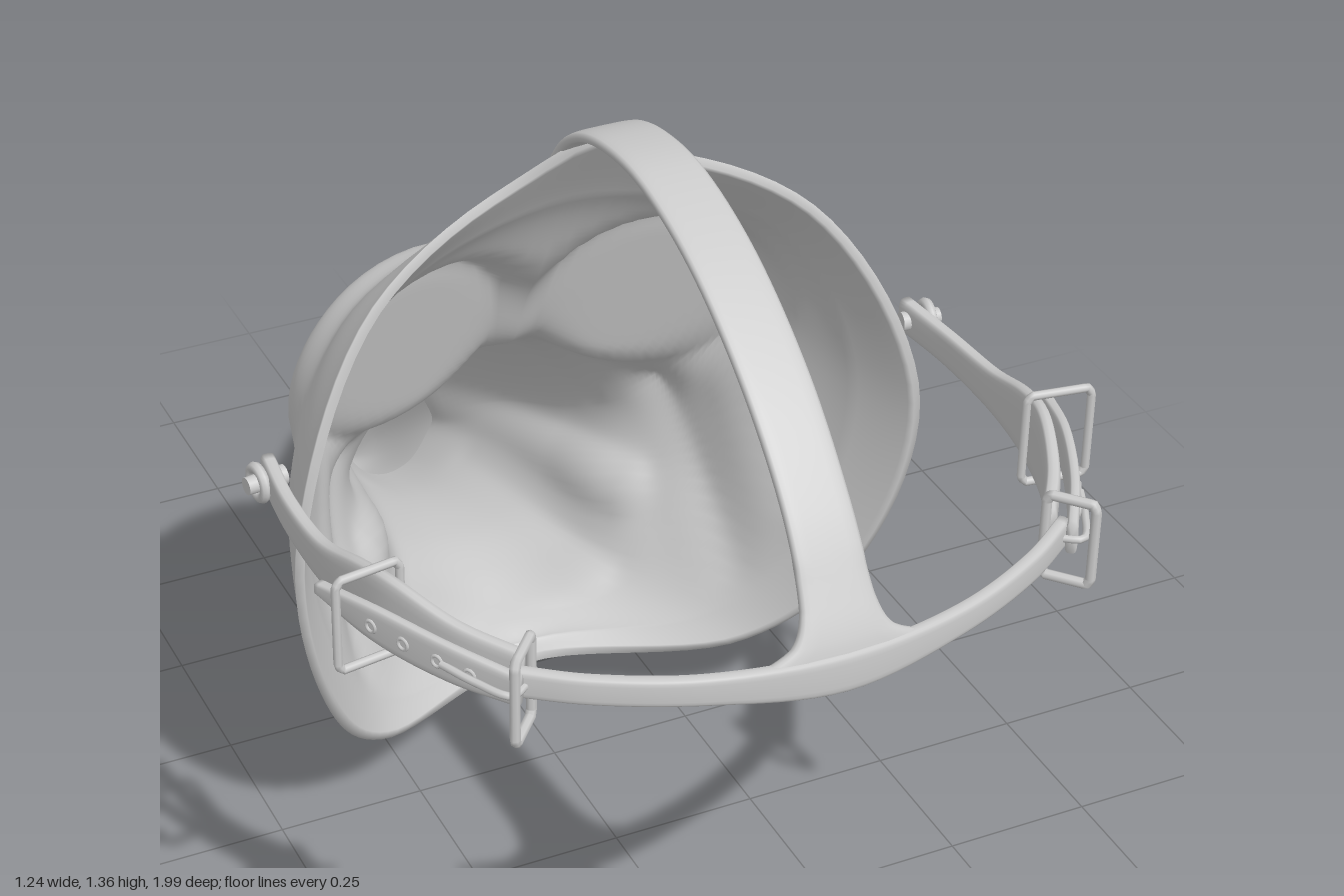
import * as THREE from 'three';

const V = (x, y, z) => new THREE.Vector3(x, y, z);
const grey = new THREE.MeshStandardMaterial({ color: 0xcccccc, side: THREE.DoubleSide });

function add(parent, name, geometry) {
  const mesh = new THREE.Mesh(geometry, grey);
  mesh.name = name;
  parent.add(mesh);
  return mesh;
}

// Skin a list of closed rings with equal point counts
function loft(rings) {
  const n = rings[0].length, pos = [], idx = [];
  rings.forEach(r => r.forEach(p => pos.push(p.x, p.y, p.z)));
  for (let j = 0; j < rings.length - 1; j++) {
    for (let i = 0; i < n; i++) {
      const a = j * n + i, b = j * n + (i + 1) % n;
      idx.push(a, b, a + n, b, b + n, a + n);
    }
  }
  const g = new THREE.BufferGeometry();
  g.setAttribute('position', new THREE.Float32BufferAttribute(pos, 3));
  g.setIndex(idx);
  g.computeVertexNormals();
  return g;
}

// Flat leather strap along a path; widths are half widths at each path point
function strap(points, widths, thick, across, steps = 48) {
  const path = new THREE.CatmullRomCurve3(points);
  const width = new THREE.CatmullRomCurve3(widths.map((w, i) => V(w, i, 0)));
  const rings = [];
  for (let j = 0; j <= steps; j++) {
    const t = j / steps, c = path.getPoint(t), w = width.getPoint(t).x;
    const normal = path.getTangent(t).cross(across).normalize();
    const ring = [];
    for (let i = 0; i < 20; i++) {
      const a = i / 20 * Math.PI * 2, co = Math.cos(a), si = Math.sin(a);
      ring.push(c.clone()
        .addScaledVector(across, w * Math.sign(co) * Math.abs(co) ** 0.5)
        .addScaledVector(normal, thick / 2 * Math.sign(si) * Math.abs(si) ** 0.5));
    }
    if (j === 0) rings.push(ring.map(() => c.clone()));
    rings.push(ring);
    if (j === steps) rings.push(ring.map(() => c.clone()));
  }
  return loft(rings);
}

// Half sections from rim to beak: top y,z | brow | side | cheek | jaw (x,y,z each) | bottom y,z
const SECTIONS = [
  [1.225, 0.10, 0.36, 1.095, 0.16, 0.536, 0.75, 0.24, 0.48, 0.39, 0.18, 0.33, 0.175, 0.05, 0.115, -0.12],
  [1.10, 0.00, 0.345, 1.01, 0.03, 0.48, 0.76, 0.07, 0.44, 0.41, 0.04, 0.28, 0.18, -0.06, 0.115, -0.16],
  [0.93, -0.09, 0.27, 0.95, -0.07, 0.41, 0.78, -0.05, 0.38, 0.43, -0.09, 0.22, 0.19, -0.15, 0.125, -0.20],
  [0.77, -0.18, 0.20, 0.74, -0.16, 0.335, 0.59, -0.19, 0.31, 0.39, -0.21, 0.18, 0.20, -0.20, 0.135, -0.24],
  [0.70, -0.30, 0.14, 0.66, -0.30, 0.27, 0.49, -0.31, 0.25, 0.35, -0.30, 0.15, 0.20, -0.29, 0.155, -0.32],
  [0.655, -0.42, 0.11, 0.60, -0.42, 0.235, 0.42, -0.42, 0.21, 0.30, -0.42, 0.11, 0.195, -0.42, 0.165, -0.42],
  [0.56, -0.60, 0.08, 0.50, -0.60, 0.182, 0.34, -0.60, 0.165, 0.25, -0.60, 0.085, 0.17, -0.59, 0.145, -0.58],
  [0.39, -0.80, 0.045, 0.33, -0.80, 0.106, 0.22, -0.78, 0.098, 0.16, -0.78, 0.055, 0.10, -0.77, 0.08, -0.77],
  [0.16, -0.945, 0.024, 0.13, -0.94, 0.05, 0.085, -0.925, 0.046, 0.05, -0.92, 0.026, 0.025, -0.92, 0.014, -0.92],
];
// Folds as soft ridges and grooves along segments: start, end, radius, height
const FOLDS = [
  [V(0.25, 0.34, -0.24), V(0.12, 0.27, -0.72), 0.045, -0.03],
  [V(0.20, 0.23, -0.18), V(0.12, 0.19, -0.60), 0.04, 0.012],
  [V(0.29, 0.56, -0.22), V(0.37, 0.28, -0.03), 0.045, 0.028],
  [V(0.36, 0.60, -0.10), V(0.42, 0.40, 0.00), 0.04, -0.018],
  [V(0, 0.73, -0.26), V(0.26, 0.55, -0.24), 0.03, 0.016],
  [V(0, 0.675, -0.39), V(0.22, 0.47, -0.35), 0.025, 0.013],
  [V(0, 0.70, -0.33), V(0.24, 0.50, -0.31), 0.022, -0.01],
  [V(0, 0.12, -0.15), V(0.05, 0.12, -0.15), 0.03, 0.008],
];
const EYE = V(0.225, 0.83, -0.135);
const EYE_DIR = V(0.22, 0.28, -1).normalize();

function maskShell() {
  const N = 96, M = 130;
  const loops = SECTIONS.map(s => {
    const half = [0, 1, 2, 3].map(k => V(s[2 + 3 * k], s[3 + 3 * k], s[4 + 3 * k]));
    const mirrored = half.map(p => V(-p.x, p.y, p.z)).reverse();
    return new THREE.CatmullRomCurve3([V(0, s[0], s[1]), ...half, V(0, s[14], s[15]), ...mirrored], true);
  });
  const lines = Array.from({ length: N }, (_, i) => new THREE.CatmullRomCurve3(
    [...loops.map(c => c.getPoint(i / N)), V(0, 0.002, -0.998)]));
  const rings = Array.from({ length: M + 1 }, (_, j) => lines.map(l => l.getPoint(j / M)));
  const normals = loft(rings).attributes.normal;
  const segment = new THREE.Line3(), near = V();
  rings.forEach((ring, j) => ring.forEach((p, i) => {
    const q = V(Math.abs(p.x), p.y, p.z), n = V().fromBufferAttribute(normals, j * N + i);
    let lift = 0;
    for (const [a, b, r, h] of FOLDS) {
      const u = segment.set(a, b).closestPointToPointParameter(q, true);
      segment.at(u, near);
      lift += h * (1 - 0.7 * u) * Math.exp(-((near.distanceTo(q) / r) ** 2));
    }
    // Flatten the seat of each eyepiece and raise a soft socket around it
    const d = q.clone().sub(EYE), h = d.dot(EYE_DIR);
    const r = d.addScaledVector(EYE_DIR, -h).length();
    if (Math.abs(h) < 0.16) {
      const w = 1 - THREE.MathUtils.smoothstep(r, 0.15, 0.25);
      const move = EYE_DIR.clone().multiplyScalar(-(h + 0.004) * w);
      p.add(V(move.x * Math.sign(p.x), move.y, move.z));
      lift += 0.014 * Math.exp(-(((r - 0.20) / 0.03) ** 2));
    }
    p.addScaledVector(n, lift);
    // Draw the top of the rim up into the head strap
    if (p.y > 0.9) {
      const pull = Math.exp(-((p.x / 0.085) ** 2)) * Math.max(0, 1 - j / 14) ** 2;
      p.add(V(0, 0.07 * pull, 0.06 * pull));
    }
  }));
  // Inner lining, joined to the outside at the rim
  const outer = loft(rings).attributes.normal;
  const lining = rings.slice(0, 100).map((ring, j) => ring.map((p, i) => p.clone()
    .addScaledVector(V().fromBufferAttribute(outer, j * N + i), -0.014 - 0.016 * Math.min(1, j / 10))));
  return loft([...lining.reverse(), ...rings]);
}

// Rounded wire frame in the local xy plane
function buckle(w, h, wire) {
  const k = 0.86, x = w / 2, y = h / 2;
  const corners = [[-k, -1], [k, -1], [1, -k], [1, k], [k, 1], [-k, 1], [-1, k], [-1, -k]];
  const path = new THREE.CurvePath();
  corners.forEach((c, i) => {
    const e = corners[(i + 1) % 8];
    path.add(new THREE.LineCurve3(V(c[0] * x, c[1] * y, 0), V(e[0] * x, e[1] * y, 0)));
  });
  return new THREE.TubeGeometry(path, 96, wire, 8, true);
}

export function createModel() {
  const model = new THREE.Group();
  model.name = 'beakedMask';
  const UP = V(0, 1, 0);

  add(model, 'maskShell', maskShell());
  const vent = add(model, 'chinVent', new THREE.TorusGeometry(0.035, 0.007, 8, 24));
  vent.position.set(0, 0.124, -0.145);
  vent.rotation.x = Math.PI / 2;
  vent.scale.y = 0.6;

  // Strap over the head, growing out of the rim and flaring into the back strap
  const headStrap = strap(
    [V(0, 1.225, 0.105), V(0, 1.283, 0.148), V(0, 1.318, 0.2), V(0, 1.342, 0.28), V(0, 1.347, 0.4), V(0, 1.30, 0.57),
      V(0, 1.19, 0.75), V(0, 1.06, 0.88), V(0, 0.95, 0.95), V(0, 0.905, 0.973), V(0, 0.875, 0.983)],
    [0.06, 0.056, 0.053, 0.052, 0.052, 0.052, 0.052, 0.052, 0.058, 0.08, 0.14], 0.02, V(1, 0, 0), 80);
  // Bend its lower end around the back of the head
  const hp = headStrap.attributes.position;
  for (let i = 0; i < hp.count; i++) {
    if (hp.getY(i) < 1) hp.setZ(i, hp.getZ(i) - 0.8 * hp.getX(i) ** 2);
  }
  headStrap.computeVertexNormals();
  add(model, 'headStrap', headStrap);
  add(model, 'backStrap', strap(
    [V(-0.44, 0.87, 0.83), V(-0.35, 0.868, 0.89), V(-0.2, 0.864, 0.953), V(0, 0.857, 0.985),
      V(0.2, 0.864, 0.953), V(0.35, 0.868, 0.89), V(0.44, 0.87, 0.83)],
    [0.024, 0.023, 0.024, 0.033, 0.024, 0.023, 0.024], 0.022, UP));

  for (const s of [1, -1]) {
    const side = s > 0 ? 'left' : 'right';

    // Eyepiece: ring, inner bead and domed lens
    const eye = new THREE.Group();
    eye.name = side + 'Eyepiece';
    const dir = V(EYE_DIR.x * s, EYE_DIR.y, EYE_DIR.z);
    eye.position.set(EYE.x * s, EYE.y, EYE.z).addScaledVector(dir, 0.006);
    eye.quaternion.setFromUnitVectors(V(0, 0, 1), dir);
    add(eye, 'eyeRing', new THREE.TorusGeometry(0.143, 0.018, 12, 56));
    add(eye, 'eyeBead', new THREE.TorusGeometry(0.122, 0.009, 8, 56));
    const lens = add(eye, 'lens', new THREE.SphereGeometry(0.122, 40, 12, 0, Math.PI * 2, 0, Math.PI / 2));
    lens.rotation.x = Math.PI / 2;
    lens.scale.y = 0.18;
    model.add(eye);

    // Side strap from the mask, widening towards the buckle
    add(model, side + 'SideStrap', strap(
      [V(0.548 * s, 0.84, 0.16), V(0.56 * s, 0.84, 0.28), V(0.56 * s, 0.845, 0.42), V(0.546 * s, 0.862, 0.54),
        V(0.528 * s, 0.867, 0.62), V(0.48 * s, 0.87, 0.73), V(0.42 * s, 0.87, 0.82)],
      [0.03, 0.03, 0.036, 0.055, 0.063, 0.045, 0.038], 0.024, UP));
    // Overlapping tongue with punched eyelets
    const tongue = [V(0.44 * s, 0.87, 0.855), V(0.503 * s, 0.87, 0.755), V(0.562 * s, 0.87, 0.63), V(0.602 * s, 0.868, 0.51)];
    add(model, side + 'Tongue', strap(tongue, [0.026, 0.032, 0.03, 0.01], 0.018, UP));
    const line = new THREE.CatmullRomCurve3(tongue);
    for (let i = 0; i < 4; i++) {
      const t = 0.22 + i * 0.15, out = line.getTangent(t).cross(UP).multiplyScalar(s);
      const eyelet = add(model, side + 'Eyelet', new THREE.TorusGeometry(0.009, 0.003, 6, 14));
      eyelet.position.copy(line.getPoint(t)).addScaledVector(out, 0.009);
      eyelet.quaternion.setFromUnitVectors(V(0, 0, 1), out);
    }

    // Buckles
    const front = add(model, side + 'FrontBuckle', buckle(0.105, 0.155, 0.007));
    front.position.set(0.563 * s, 0.868, 0.605);
    front.rotation.y = -0.15 * s;
    const rear = add(model, side + 'RearBuckle', buckle(0.075, 0.14, 0.008));
    rear.position.set(0.435 * s, 0.87, 0.855);
    rear.rotation.y = -0.85 * s;
    const prong = [V(0.425 * s, 0.87, 0.845), V(0.455 * s, 0.87, 0.862), V(0.49 * s, 0.87, 0.81), V(0.515 * s, 0.87, 0.755)];
    add(model, side + 'Prong', new THREE.TubeGeometry(new THREE.CatmullRomCurve3(prong), 16, 0.006, 8));

    // Rivet fixing the strap to the mask
    const rivet = new THREE.Group();
    rivet.name = side + 'Rivet';
    rivet.position.set(0.562 * s, 0.84, 0.185);
    rivet.rotation.y = 1.45 * s;
    add(rivet, 'rivetRing', new THREE.TorusGeometry(0.024, 0.009, 8, 24)).position.z = 0.012;
    const stud = add(rivet, 'rivetStud', new THREE.CylinderGeometry(0.014, 0.016, 0.065, 16));
    stud.rotation.x = Math.PI / 2;
    model.add(rivet);
  }
  return model;
}
